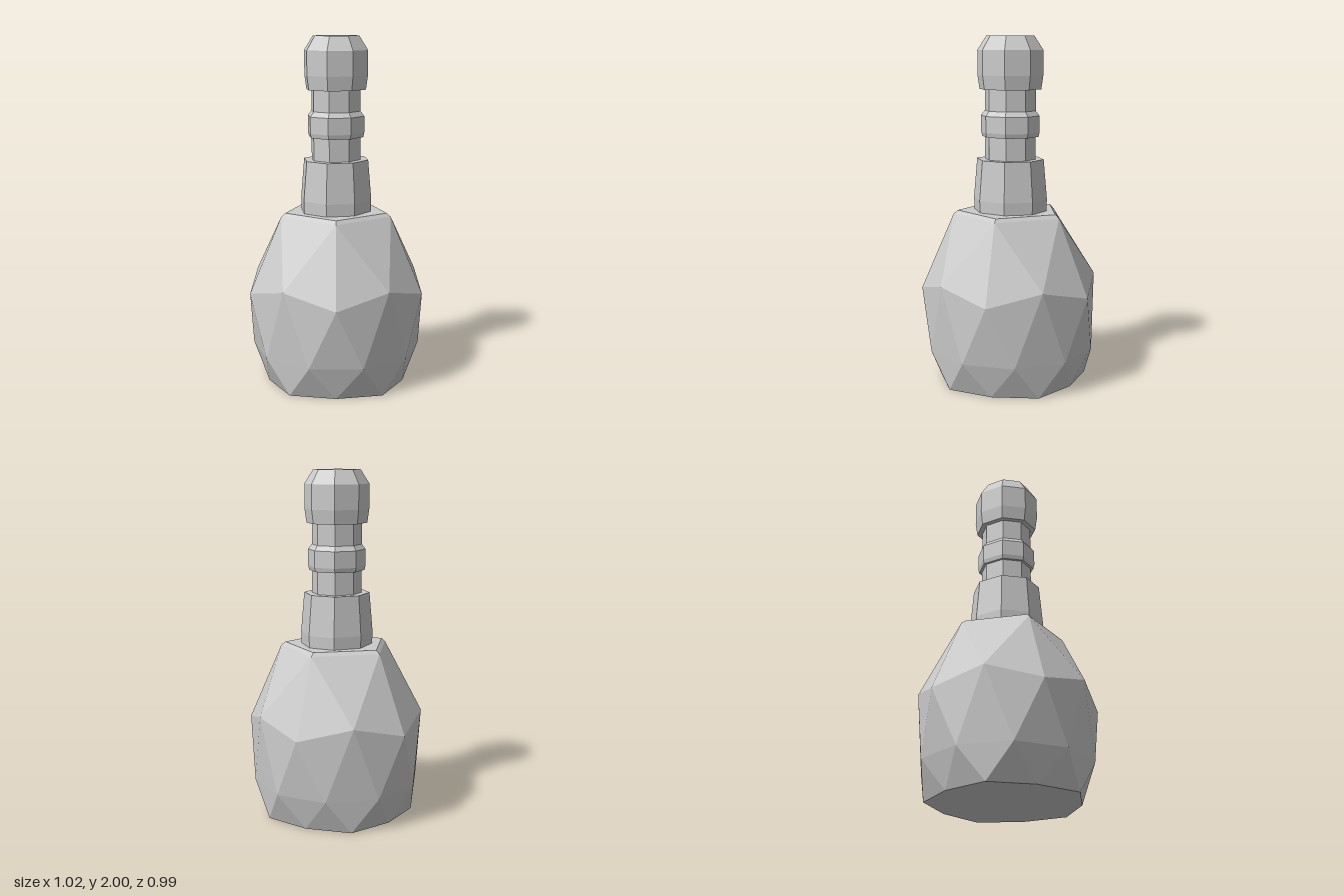
import * as THREE from 'three';

const material = new THREE.MeshStandardMaterial({ color: 0xcccccc, flatShading: true });
const AXIS_X = -0.011;

// Ring of points; radii and heights alternate between even and odd points.
function ring(count, startDeg, radii, heights) {
  return Array.from({ length: count }, (_, i) => {
    const a = THREE.MathUtils.degToRad(startDeg + (360 / count) * i);
    const r = radii[i % radii.length];
    return [r * Math.cos(a), heights[i % heights.length], r * Math.sin(a)];
  });
}

// Faceted bulb: a stretched, subdivided icosahedron cut flat at top and bottom.
function createBulb() {
  const cap = ring(5, 0, [0.306], [1]);
  const shoulder = ring(5, 0, [0.33], [0.98]);
  const upper = ring(10, 0, [0.52, 0.497], [0.54, 0.615]);
  const belly = ring(10, 18, [0.49], [0.195]);
  const base = ring(10, 0, [0.412, 0.447], [0]);
  const positions = [];
  const tri = (a, b, c) => positions.push(...a, ...b, ...c);
  const at = (points, i) => points[(i + points.length) % points.length];

  for (let k = 0; k < 5; k++) {
    const s0 = shoulder[k], s1 = at(shoulder, k + 1);
    const c0 = cap[k], c1 = at(cap, k + 1);
    const v = upper[2 * k], m = upper[2 * k + 1], next = at(upper, 2 * k + 2);
    // flat top and its narrow bevel
    tri([0, 1, 0], c1, c0);
    tri(c0, c1, s1);
    tri(c0, s1, s0);
    // shoulder facets
    tri(s0, s1, m);
    tri(s0, m, v);
    tri(s1, next, m);
  }
  for (let i = 0; i < 10; i++) {
    const u0 = upper[i], u1 = at(upper, i + 1);
    const e0 = belly[i], e1 = at(belly, i + 1);
    const b0 = base[i], b1 = at(base, i + 1);
    // belly and foot facets
    tri(u0, u1, e0);
    tri(u1, e1, e0);
    tri(e0, b1, b0);
    tri(e0, e1, b1);
    // flat underside
    tri([0, 0, 0], b0, b1);
  }
  const geometry = new THREE.BufferGeometry();
  geometry.setAttribute('position', new THREE.Float32BufferAttribute(positions, 3));
  geometry.computeVertexNormals();
  const mesh = new THREE.Mesh(geometry, material);
  mesh.name = 'bulb';
  return mesh;
}

// Eight-sided turned part; profile entries are [half width across flats, height].
function turned(name, profile) {
  const points = profile.map(([w, y]) => new THREE.Vector2(w / Math.cos(Math.PI / 8), y));
  const geometry = new THREE.LatheGeometry(points, 8, Math.PI / 8).toNonIndexed();
  geometry.scale(1, 1, 0.945);
  geometry.computeVertexNormals();
  const mesh = new THREE.Mesh(geometry, material);
  mesh.name = name;
  return mesh;
}

export function createModel() {
  const model = new THREE.Group();
  model.name = 'bottle';
  const body = new THREE.Group();
  body.name = 'body';
  body.position.x = AXIS_X;
  body.add(
    createBulb(),
    turned('collar', [[0.199, 0.99], [0.202, 1.07], [0.183, 1.3], [0, 1.3]]),
    turned('neck', [[0.139, 1.3], [0.139, 1.7]]),
    turned('neckRing', [[0.139, 1.43], [0.154, 1.43], [0.16, 1.455], [0.16, 1.55], [0.139, 1.578]]),
    turned('stopper', [[0, 1.7], [0.168, 1.7], [0.179, 1.78], [0.179, 1.92], [0.13, 2], [0, 2]])
  );
  model.add(body);
  return model;
}
